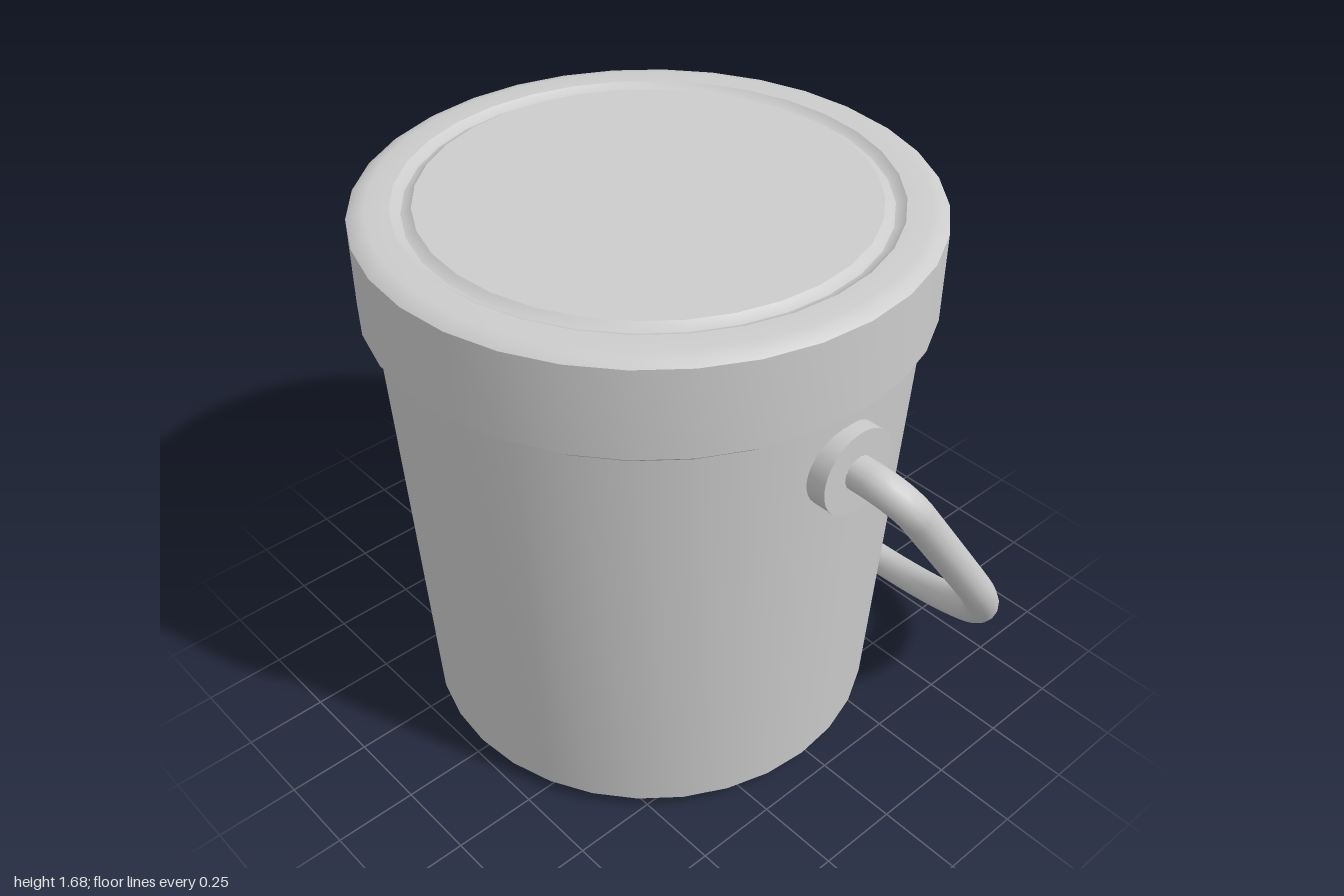
import * as THREE from 'three';
import { toCreasedNormals } from 'three/addons/utils/BufferGeometryUtils.js';

const material = new THREE.MeshStandardMaterial({ color: 0xcccccc });
const CENTRE_Z = 0.04;
const PIVOT_Y = 1.2;

function addMesh(parent, name, geometry) {
  const mesh = new THREE.Mesh(geometry, material);
  mesh.name = name;
  parent.add(mesh);
  return mesh;
}

// Revolved solid; profile points run from the bottom axis to the top axis
function turned(profile, segments = 32) {
  const points = profile.map(([r, y]) => new THREE.Vector2(r, y));
  return toCreasedNormals(new THREE.LatheGeometry(points, segments), 0.53);
}

// Centre line of the bail, drawn flat with the pivots on y = 0
function bailCurve(reach) {
  const path = new THREE.Path();
  const corner = 0.1, bend = 0.75, straight = 0.2;
  path.moveTo(0.77, 0);
  path.lineTo(0.95 - corner, 0);
  path.absarc(0.95 - corner, -corner, corner, Math.PI / 2, 0, true);
  path.absarc(straight, bend - reach, bend, 0, -Math.PI / 2, true);
  path.absarc(-straight, bend - reach, bend, -Math.PI / 2, -Math.PI, true);
  path.absarc(corner - 0.95, -corner, corner, Math.PI, Math.PI / 2, true);
  path.lineTo(-0.77, 0);
  // Drop the doubled points where the pieces meet
  const points = path.getPoints(12)
    .map((p) => new THREE.Vector3(p.x, p.y, 0))
    .filter((p, i, all) => i === 0 || p.distanceTo(all[i - 1]) > 1e-4);
  return new THREE.CatmullRomCurve3(points, false, 'centripetal');
}

export function createModel() {
  const model = new THREE.Group();
  model.name = 'lidded bucket';

  // Tapered body with a chamfered foot and a shallow recess underneath
  const body = addMesh(model, 'body', turned([
    [0, 0.04], [0.595, 0.04], [0.645, 0.008],
    [0.69, 0.04], [0.762, 1.39], [0, 1.39],
  ]));
  body.position.z = CENTRE_Z;

  // Lid with bevelled edges and a rounded groove around its top
  const lid = addMesh(model, 'lid', turned([
    [0, 1.375], [0.77, 1.375], [0.799, 1.4], [0.799, 1.66], [0.777, 1.675],
    [0.75, 1.68], [0.685, 1.68], [0.67, 1.668], [0.656, 1.664],
    [0.642, 1.668], [0.627, 1.68], [0, 1.68],
  ]));
  lid.position.z = CENTRE_Z;

  // Round bosses that carry the bail
  for (const side of [1, -1]) {
    const boss = addMesh(model, side > 0 ? 'leftBoss' : 'rightBoss',
      new THREE.CylinderGeometry(0.127, 0.127, 0.12, 32));
    boss.rotation.z = Math.PI / 2;
    boss.position.set(side * 0.74, PIVOT_Y, CENTRE_Z);
  }

  // Bail swung down behind the bucket
  const drop = 1.11, back = 0.79, reach = Math.hypot(drop, back);
  const bail = new THREE.Group();
  bail.name = 'bail';
  bail.position.set(0, PIVOT_Y, CENTRE_Z);
  bail.rotation.x = Math.atan2(back, drop);
  model.add(bail);
  addMesh(bail, 'handle', new THREE.TubeGeometry(bailCurve(reach), 160, 0.05, 14));

  // Waisted grip in the middle of the bail
  const grip = addMesh(bail, 'grip', turned([
    [0, -0.217], [0.075, -0.217], [0.089, -0.2], [0.062, 0],
    [0.089, 0.2], [0.075, 0.217], [0, 0.217],
  ], 12));
  grip.rotation.z = Math.PI / 2;
  grip.position.y = -reach;

  return model;
}
